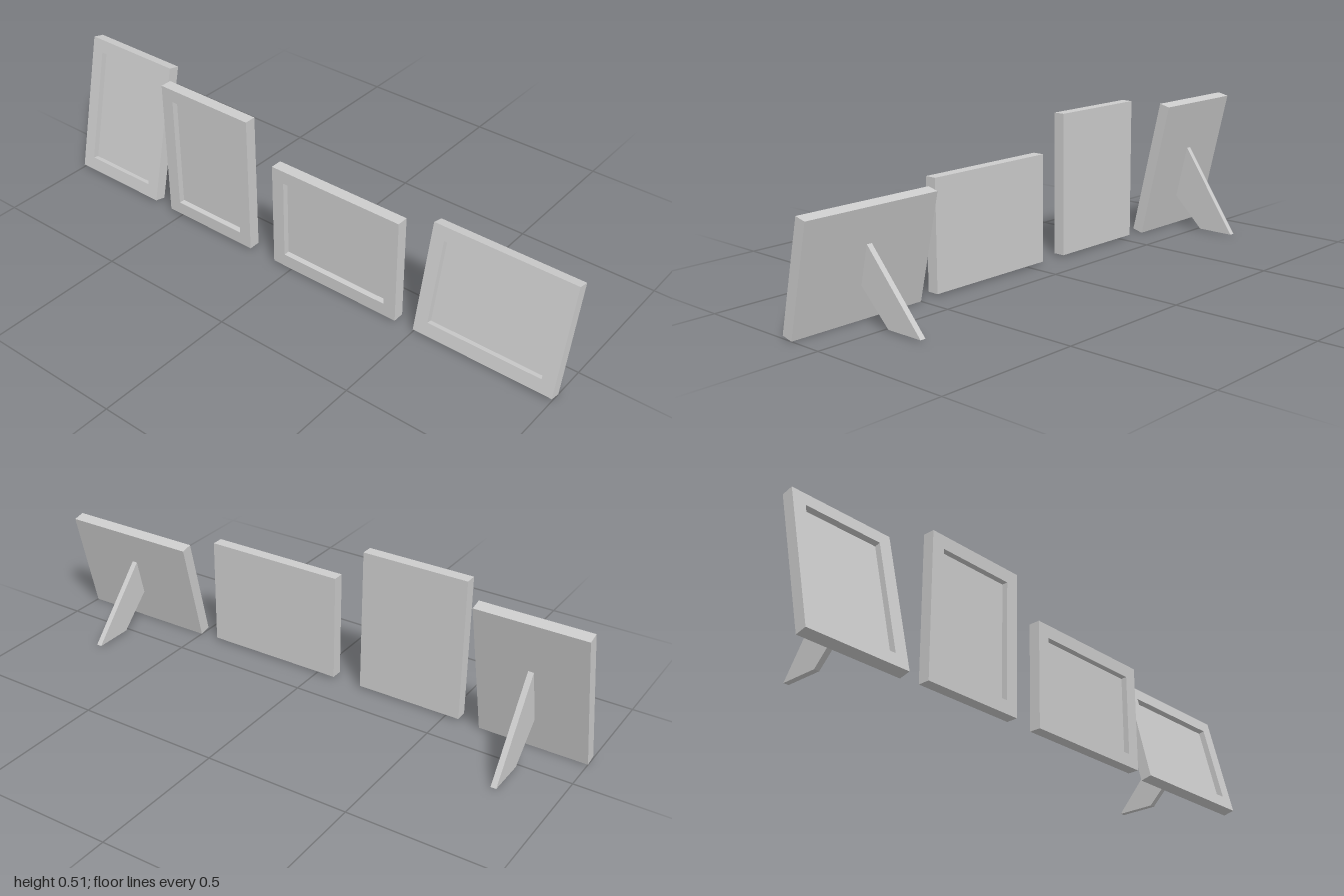
import * as THREE from 'three';

const DEPTH = 0.041, RECESS = 0.021, BORDER = 0.046, TILT = -0.231;
const material = new THREE.MeshStandardMaterial({ color: 0xcccccc, flatShading: true });

function addMesh(parent, name, geometry) {
  const mesh = new THREE.Mesh(geometry, material);
  mesh.name = name;
  parent.add(mesh);
  return mesh;
}

// Rectangle centred on x = 0, rising from y = 0
function rectangle(Type, w, h, inset) {
  const x = w / 2 - inset;
  return new Type([[-x, inset], [x, inset], [x, h - inset], [-x, h - inset]]
    .map(([a, b]) => new THREE.Vector2(a, b)));
}

// Picture frame whose bottom front edge is the local origin
function createFrame(name, w, h) {
  const frame = new THREE.Group();
  frame.name = name;
  // Raised border around the picture opening
  const shape = rectangle(THREE.Shape, w, h, 0);
  shape.holes.push(rectangle(THREE.Path, w, h, BORDER));
  const border = new THREE.ExtrudeGeometry(shape, { depth: RECESS, bevelEnabled: false });
  addMesh(frame, 'border', border.translate(0, 0, -RECESS));
  // Solid back, its front showing as the picture
  const t = DEPTH - RECESS;
  const back = new THREE.BoxGeometry(w, h, t);
  addMesh(frame, 'backPanel', back.translate(0, h / 2, -RECESS - t / 2));
  return frame;
}

// Thin prop behind a tilted frame; profile points are (z, y)
function createStand(topZ, topY) {
  const shape = new THREE.Shape([[topZ, topY], [-0.16, 0.006], [-0.022, 0.006], [0.093, 0.118]]
    .map(([z, y]) => new THREE.Vector2(z, y)));
  const width = 0.019;
  const geometry = new THREE.ExtrudeGeometry(shape, { depth: width, bevelEnabled: false });
  return geometry.translate(0, 0, -width / 2).rotateY(-Math.PI / 2);
}

export function createModel() {
  const model = new THREE.Group();
  model.name = 'pictureFrames';
  const frames = [
    { name: 'tiltedPortraitFrame', x: -0.8125, w: 0.375, h: 0.503, stand: [0.048, 0.31] },
    { name: 'uprightPortraitFrame', x: -0.363, w: 0.375, h: 0.503 },
    { name: 'uprightLandscapeFrame', x: 0.18, w: 0.5, h: 0.378 },
    { name: 'tiltedLandscapeFrame', x: 0.75, w: 0.5, h: 0.378, stand: [0.062, 0.25] },
  ];
  for (const { name, x, w, h, stand } of frames) {
    const frame = createFrame(name, w, h);
    frame.position.set(x, stand ? 0.0094 : 0.007, 0.16);
    model.add(frame);
    if (stand) {
      frame.rotation.x = TILT;
      addMesh(model, name + 'Stand', createStand(...stand)).position.x = x;
    }
  }
  return model;
}
